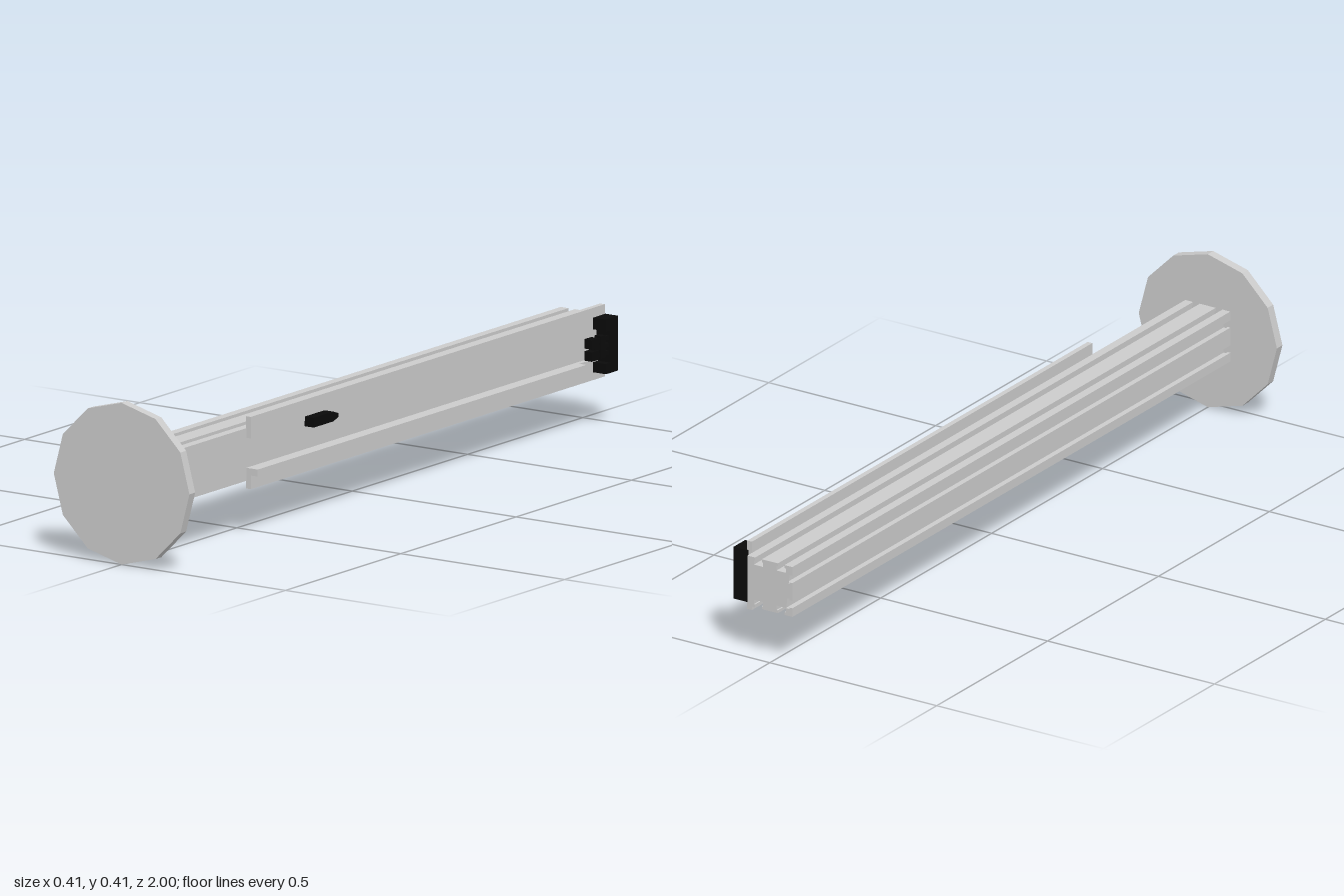
import * as THREE from 'three';

const CY = 0.207; // height of the beam axis
const grey = new THREE.MeshStandardMaterial({ color: 0xcccccc, flatShading: true });
const black = new THREE.MeshStandardMaterial({ color: 0x0a0a0a, flatShading: true });

function add(parent, name, geometry, material) {
  const mesh = new THREE.Mesh(geometry, material);
  mesh.name = name;
  parent.add(mesh);
  return mesh;
}

// Box given by its limits on each axis
function box(parent, name, [x0, x1], [y0, y1], [z0, z1], material = grey) {
  const mesh = add(parent, name, new THREE.BoxGeometry(x1 - x0, y1 - y0, z1 - z0), material);
  mesh.position.set((x0 + x1) / 2, (y0 + y1) / 2, (z0 + z1) / 2);
  return mesh;
}

// Slotted section: top, left-hand and bottom sides carry two T-slots, +x side is flat
function beamShape() {
  const h = 0.0675;
  const mouth = 0.01, inner = 0.014, lip = 0.008, depth = 0.02;
  const points = [];
  for (let side = 0; side < 4; side++) {
    const local = [[h, h]];
    if (side < 3) {
      for (const c of [0.034, -0.034]) {
        local.push([c + mouth, h], [c + mouth, h - lip], [c + inner, h - lip], [c + inner, h - depth],
          [c - inner, h - depth], [c - inner, h - lip], [c - mouth, h - lip], [c - mouth, h]);
      }
    }
    const a = side * Math.PI / 2;
    for (const [u, v] of local) {
      points.push(new THREE.Vector2(u * Math.cos(a) - v * Math.sin(a), u * Math.sin(a) + v * Math.cos(a)));
    }
  }
  return new THREE.Shape(points);
}

export function createModel() {
  const model = new THREE.Group();
  model.name = 'slottedBeamAssembly';

  // Twelve-sided end plate
  const plate = add(model, 'endPlate',
    new THREE.CylinderGeometry(0.207, 0.207, 0.025, 12).rotateX(Math.PI / 2), grey);
  plate.position.set(0, CY, 0.9875);

  // Extruded beam
  const beam = add(model, 'beam',
    new THREE.ExtrudeGeometry(beamShape(), { depth: 1.975, bevelEnabled: false }), grey);
  beam.position.set(0, CY, -1);

  // Guide rails on the +x side
  const rails = new THREE.Group();
  rails.name = 'guideRails';
  model.add(rails);
  box(rails, 'upperRail', [0.067, 0.081], [0.25, 0.305], [-0.98, 0.555]);
  box(rails, 'lowerRail', [0.067, 0.081], [0.12, 0.173], [-0.98, 0.555]);
  box(rails, 'lowerRailLip', [0.081, 0.102], [0.155, 0.173], [-0.87, 0.555]);

  // Pointed slider
  const outline = new THREE.Shape([
    [0.32, 0.237], [0.32, 0.262], [0.235, 0.262], [0.212, 0.254], [0.212, 0.245], [0.235, 0.237],
  ].map(([z, y]) => new THREE.Vector2(-z, y)));
  const slider = add(model, 'slider',
    new THREE.ExtrudeGeometry(outline, { depth: 0.029, bevelEnabled: false }), black);
  slider.rotation.y = Math.PI / 2;
  slider.position.x = 0.079;

  // Latch block with two arms and a pronged catch
  const latch = new THREE.Group();
  latch.name = 'latch';
  model.add(latch);
  box(latch, 'latchBody', [0.077, 0.12], [0.14, 0.28], [-0.983, -0.95], black);
  for (const [name, y0, y1] of [['lowerArm', 0.14, 0.166], ['upperArm', 0.25, 0.28]]) {
    box(latch, name, [0.077, 0.12], [y0, y1], [-0.952, -0.93], black);
  }
  for (const y of [0.192, 0.211, 0.23]) {
    box(latch, 'prong', [0.102, 0.114], [y - 0.005, y + 0.005], [-0.952, -0.89], black);
  }
  box(latch, 'catchCollar', [0.098, 0.118], [0.184, 0.24], [-0.93, -0.912], black);
  for (const y of [0.195, 0.226]) {
    box(latch, 'catchTip', [0.096, 0.119], [y - 0.012, y + 0.012], [-0.9, -0.87], black);
  }
  return model;
}
